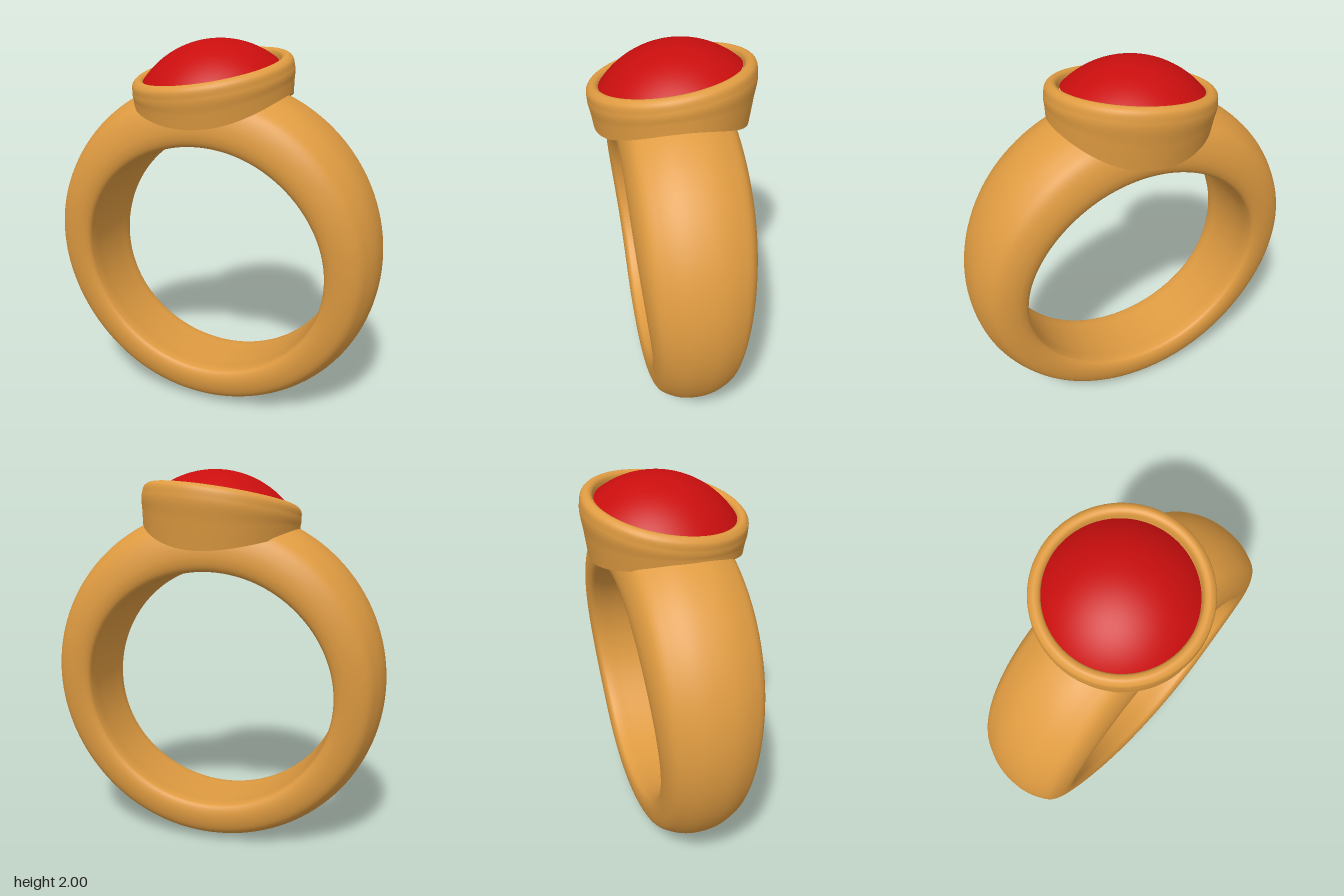
import * as THREE from 'three';
import { ParametricGeometry } from 'three/addons/geometries/ParametricGeometry.js';

const V = (x, y, z) => new THREE.Vector3(x, y, z);

export function createModel() {
  const gold = new THREE.MeshStandardMaterial({ color: 0xdf9b41 });
  gold.name = 'gold';
  const red = new THREE.MeshStandardMaterial({ color: 0xca0e0e });
  red.name = 'red';

  const model = new THREE.Group();
  model.name = 'ring';
  const add = (name, geometry, material) => {
    const mesh = new THREE.Mesh(geometry, material);
    mesh.name = name;
    model.add(mesh);
    return mesh;
  };

  // Band: domed cross-section (x = inner to outer, y = share of half width)
  const half = [[0.97, 0.33], [0.87, 0.62], [0.72, 0.86], [0.45, 0.985], [0.18, 1], [0.035, 0.93], [0, 0.8], [0, 0.4]];
  const section = new THREE.CatmullRomCurve3([
    V(1, 0, 0),
    ...half.map(([s, w]) => V(s, w, 0)),
    V(0, 0, 0),
    ...half.slice().reverse().map(([s, w]) => V(s, -w, 0)),
  ], true);
  const p = V(0, 0, 0);
  add('band', new ParametricGeometry((u, v, out) => {
    const a = u * Math.PI * 2, c = Math.cos(a), s = Math.sin(a);
    section.getPoint(v, p);
    const x = THREE.MathUtils.lerp(0.66, 0.905, p.x) * c;
    const y = THREE.MathUtils.lerp(0.855 + 0.635 * s, 0.905 + 0.905 * s, p.x);
    // The band widens toward the setting
    const width = 0.21 + 0.08 * THREE.MathUtils.smoothstep(0.905 + 0.905 * s, 0.2, 1.7);
    out.set(x, y, p.y * width - 0.005);
  }, 128, 72), gold);

  // Tilted frame shared by the setting and the stone
  const normal = V(-0.13, 1, 0.14).normalize();
  const tilt = new THREE.Quaternion().setFromUnitVectors(V(0, 1, 0), normal);
  const centre = V(-0.025, 1.86, 0);

  // Lower edge of the setting, arched over the band
  const lowerEdge = (a, k) => {
    const c = Math.cos(a);
    return V(-0.015 + 0.415 * c * k, 1.605 + c * c * (0.105 + 0.035 * c), -0.387 * Math.sin(a) * k);
  };

  // Setting wall and rim (x = radius, y = height, z = blend to the lower edge)
  const profile = new THREE.CatmullRomCurve3([
    V(0.42, -0.07, 1), V(0.422, -0.06, 0.5), V(0.423, -0.045, 0.06), V(0.414, -0.01, 0),
    V(0.39, 0.008, 0), V(0.366, 0, 0), V(0.35, -0.045, 0),
  ]);
  add('bezel', new ParametricGeometry((u, v, out) => {
    const a = u * Math.PI * 2;
    profile.getPoint(v, p);
    out.set(p.x * Math.cos(a), p.y, -p.x * Math.sin(a)).applyQuaternion(tilt).add(centre);
    out.lerp(lowerEdge(a, 1), p.z);
  }, 96, 36), gold);

  // Underside of the setting
  add('bezelUnderside', new ParametricGeometry((u, v, out) => {
    out.copy(lowerEdge(u * Math.PI * 2, 0.15 + 0.85 * v));
  }, 96, 6), gold);

  // Domed stone: a spherical cap
  const radius = 0.358, height = 0.158;
  const R = (radius * radius + height * height) / (2 * height);
  const stone = add('stone', new THREE.SphereGeometry(R, 96, 24, 0, Math.PI * 2, 0, Math.asin(radius / R)), red);
  stone.quaternion.copy(tilt);
  stone.position.set(-0.037, 1.838, 0).addScaledVector(normal, height - R);

  return model;
}
